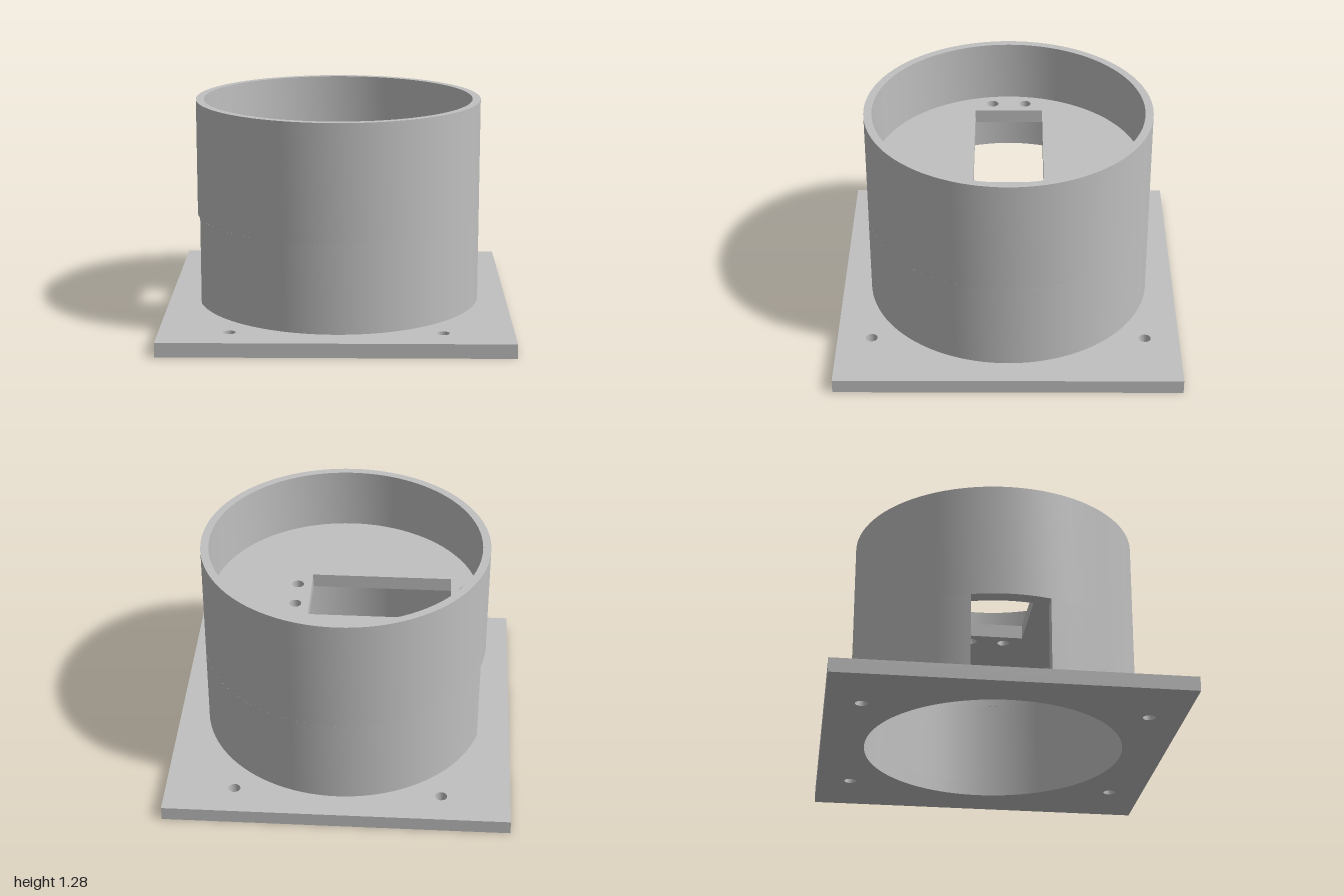
import * as THREE from 'three';
import { toCreasedNormals } from 'three/addons/utils/BufferGeometryUtils.js';

const OUTER = 0.837, RIM_INNER = 0.79, BORE = 0.75;
const BASE_TOP = 0.083, DOOR_TOP = 0.602, FLOOR_BOTTOM = 0.833, FLOOR_TOP = 0.917, TOP = 1.283;
const DOOR_HALF = 0.225, SCREW = 0.035;

export function createModel() {
  const group = new THREE.Group();
  const grey = new THREE.MeshStandardMaterial({ color: 0xc0c0c0 });
  grey.name = 'grey plastic';

  const add = (name, geometry) => {
    const mesh = new THREE.Mesh(toCreasedNormals(geometry, 0.5), grey);
    mesh.name = name;
    group.add(mesh);
  };

  // Extrudes a plan shape upwards between two heights
  const slab = (name, shape, y0, y1, curveSegments = 48) => {
    const g = new THREE.ExtrudeGeometry(shape, { depth: y1 - y0, bevelEnabled: false, curveSegments });
    g.rotateX(-Math.PI / 2);
    g.translate(0, y0, 0);
    add(name, g);
  };

  const circle = (x, y, r) => new THREE.Path().absarc(x, y, r, 0, Math.PI * 2, true);
  const rect = (path, x0, y0, x1, y1) =>
    path.moveTo(x0, y0).lineTo(x1, y0).lineTo(x1, y1).lineTo(x0, y1).closePath();

  // Square base plate with the large bore and four mounting holes
  const base = new THREE.Shape();
  rect(base, -1, -1, 1, 1);
  base.holes.push(circle(0, 0, BORE));
  for (const x of [-0.6, 0.6])
    for (const z of [-0.8, 0.8]) base.holes.push(circle(x, z, SCREW));
  slab('basePlate', base, 0, BASE_TOP, 96);

  // Lower wall, open at the doorway on the -x side
  const a = Math.asin(DOOR_HALF / OUTER), b = Math.asin(DOOR_HALF / BORE);
  const lower = new THREE.Shape();
  lower.absarc(0, 0, OUTER, -Math.PI + a, Math.PI - a, false);
  lower.absarc(0, 0, BORE, Math.PI - b, -Math.PI + b, true);
  lower.closePath();
  slab('lowerWall', lower, BASE_TOP, DOOR_TOP, 96);

  // Upper wall, thinner above the inner floor
  const profile = [
    [BORE, DOOR_TOP], [OUTER, DOOR_TOP], [OUTER, TOP], [RIM_INNER, TOP],
    [RIM_INNER, FLOOR_BOTTOM], [BORE, FLOOR_BOTTOM], [BORE, DOOR_TOP],
  ].map(([r, y]) => new THREE.Vector2(r, y));
  add('upperWall', new THREE.LatheGeometry(profile, 96));

  // Inner floor with the rectangular slot and its four screw holes
  const floor = new THREE.Shape().absarc(0, 0, RIM_INNER, 0, Math.PI * 2, false);
  floor.holes.push(rect(new THREE.Path(), -0.617, -0.205, 0.208, 0.205));
  for (const x of [-0.7, 0.29])
    for (const z of [-0.1, 0.1]) floor.holes.push(circle(x, z, SCREW));
  slab('innerFloor', floor, FLOOR_BOTTOM, FLOOR_TOP, 96);

  return group;
}
